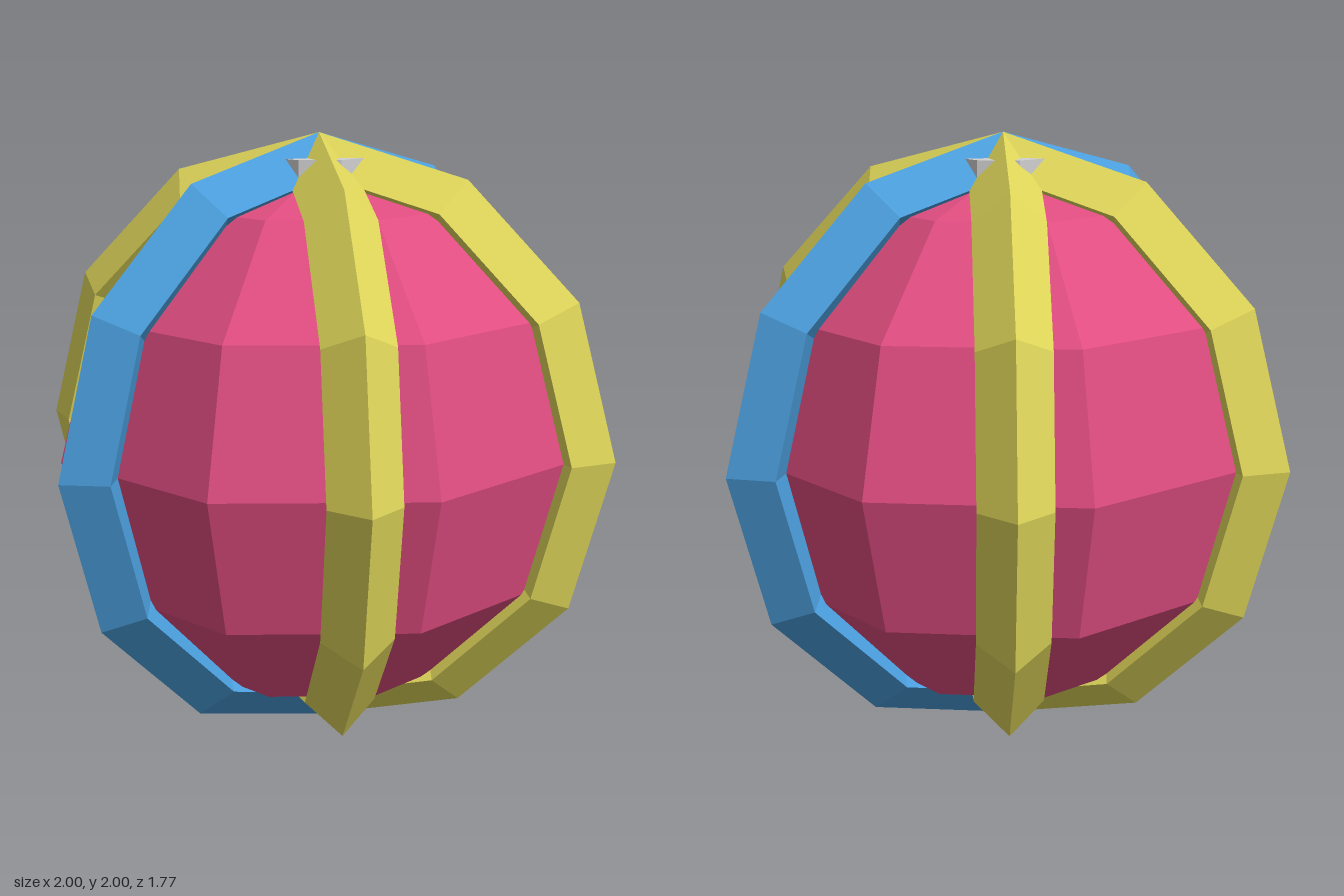
import * as THREE from 'three';

const flat = (name, color) => {
  const m = new THREE.MeshStandardMaterial({ color });
  m.name = name;
  m.flatShading = true;
  return m;
};

export function createModel() {
  const pink = flat('pink', 0xe04d80);
  const yellow = flat('yellow', 0xe0d75a);
  const blue = flat('blue', 0x4a9ddb);
  const grey = flat('light grey', 0xd0d0d0);

  const group = new THREE.Group();
  group.name = 'bandedBall';

  const add = (name, geometry, material, y) => {
    const mesh = new THREE.Mesh(geometry, material);
    mesh.name = name;
    mesh.position.y = y;
    group.add(mesh);
    return mesh;
  };

  // Eight-sided ball inside the bands
  add('ball', new THREE.SphereGeometry(0.885, 8, 6), pink, 1);

  // Three upright twelve-sided bands with a diamond section, crossing at the poles
  const bandGeometry = new THREE.TorusGeometry(0.887, 0.113, 4, 12);
  [['sideBand', yellow], ['blueBand', blue], ['diagonalBand', yellow]].forEach(([name, material], i) => {
    add(name, bandGeometry, material, 1).rotation.y = (i * Math.PI) / 3;
  });

  // Small cap whose corners show between the bands at the top
  add('topCap', new THREE.CylinderGeometry(0.177, 0.177, 0.125, 8), grey, 1.8625);

  return group;
}
